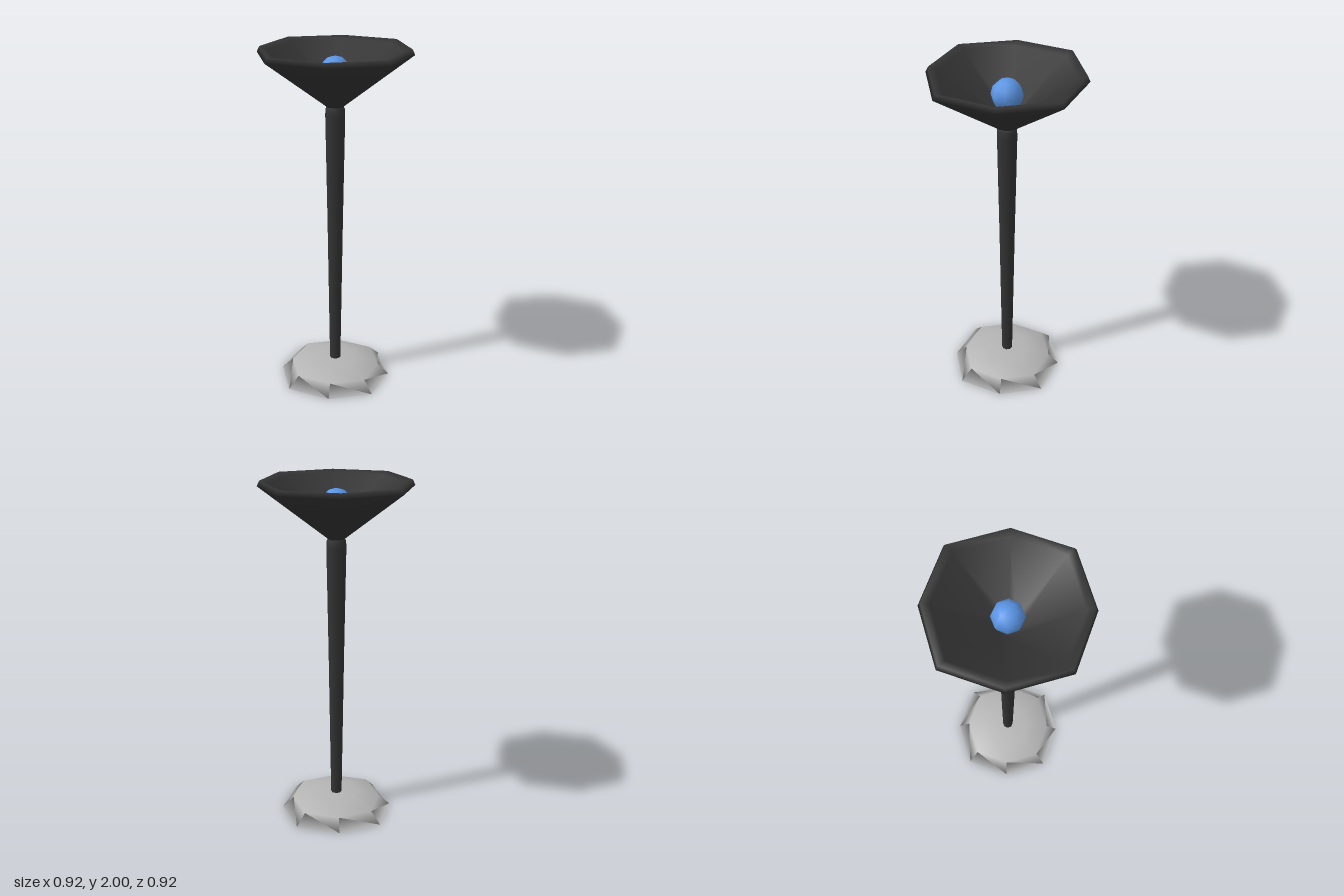
import * as THREE from 'three';

const SIDES = 8;

// Smooth eight-sided turned part; the diagonal corners are pulled in slightly by `diagonal`
function turned(name, profile, material, diagonal = 1) {
  const points = profile.map(([r, y]) => new THREE.Vector2(r, y));
  const geometry = new THREE.LatheGeometry(points, SIDES);
  const pos = geometry.attributes.position;
  for (let i = 0; i < pos.count; i++) {
    const corner = Math.floor(i / points.length);
    if (corner % 2 === 1) {
      pos.setX(i, pos.getX(i) * diagonal);
      pos.setZ(i, pos.getZ(i) * diagonal);
    }
  }
  const mesh = new THREE.Mesh(geometry, material);
  mesh.name = name;
  return mesh;
}

export function createModel() {
  const darkMetal = new THREE.MeshStandardMaterial({ name: 'darkMetal', color: 0x333333 });
  const greyBase = new THREE.MeshStandardMaterial({ name: 'greyBase', color: 0xb4b4b4 });
  const blueGlass = new THREE.MeshStandardMaterial({ name: 'blueGlass', color: 0x5a94e4 });

  const lamp = new THREE.Group();
  lamp.name = 'floorLamp';

  // Foot: closed underside, bevelled edge, flat top
  lamp.add(turned('base', [
    [0, 0], [0.35, 0], [0.28, 0.065], [0.14, 0.1], [0, 0.1],
  ], greyBase, 0.94));

  // Pole widening towards a rounded collar
  lamp.add(turned('pole', [
    [0.032, 0.09], [0.045, 1.0], [0.056, 1.63], [0.054, 1.665], [0.042, 1.69], [0, 1.7],
  ], darkMetal));

  // Hollow shade: outer cone, rim, inner cone
  lamp.add(turned('shade', [
    [0, 1.66], [0.04, 1.67], [0.46, 1.97], [0.445, 2.0], [0.4, 1.985], [0.06, 1.75], [0, 1.745],
  ], darkMetal, 0.937));

  // Bulb resting in the shade
  const bulb = new THREE.Mesh(new THREE.SphereGeometry(0.088, SIDES, 6), blueGlass);
  bulb.name = 'bulb';
  bulb.position.y = 1.87;
  lamp.add(bulb);

  return lamp;
}
